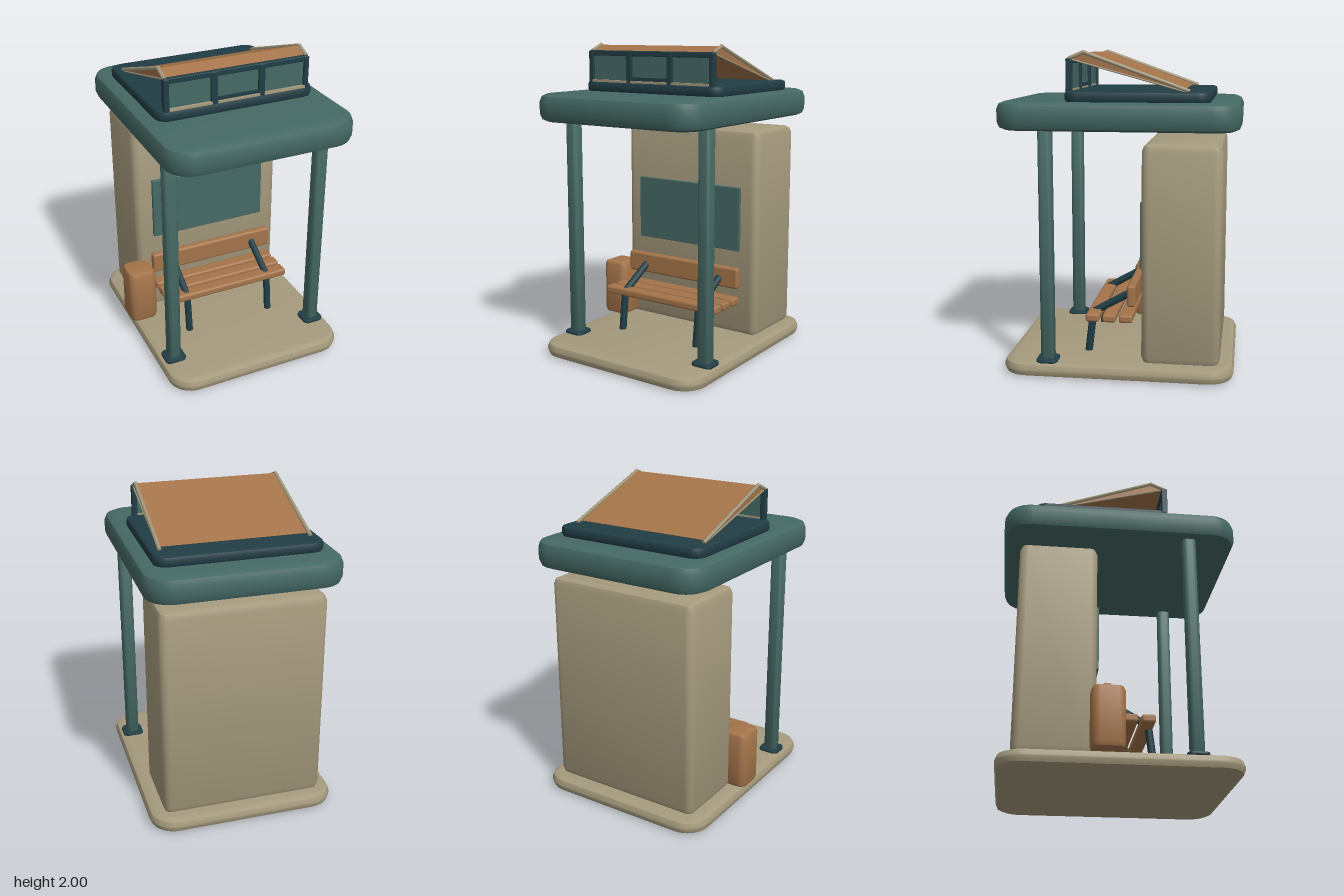
import * as THREE from 'three';
import { toCreasedNormals } from 'three/addons/utils/BufferGeometryUtils.js';
import { RoundedBoxGeometry } from 'three/addons/geometries/RoundedBoxGeometry.js';

const material = (name, color) => {
  const m = new THREE.MeshStandardMaterial({ color });
  m.name = name;
  return m;
};

export function createModel() {
  const teal = material('teal', 0x456964);
  const dark = material('darkTeal', 0x213d45);
  const stone = material('stone', 0xa59a7d);
  const wood = material('wood', 0xa4744a);

  const model = new THREE.Group();
  model.name = 'shelter';
  const CX = 0.013; // middle of the shelter; the bin sticks out on one side

  const add = (name, geometry, mat, parent = model) => {
    const mesh = new THREE.Mesh(geometry, mat);
    mesh.name = name;
    parent.add(mesh);
    return mesh;
  };
  const group = (name) => {
    const g = new THREE.Group();
    g.name = name;
    model.add(g);
    return g;
  };

  // Upright block with rounded plan corners and bevelled top and bottom rims
  const slab = (name, mat, [x0, x1], [y0, y1], [z0, z1], r, bevel, parent) => {
    const w = (x1 - x0) / 2, d = (z1 - z0) / 2;
    const s = new THREE.Shape();
    s.moveTo(-w + r, -d);
    s.lineTo(w - r, -d);
    s.absarc(w - r, -d + r, r, -Math.PI / 2, 0);
    s.lineTo(w, d - r);
    s.absarc(w - r, d - r, r, 0, Math.PI / 2);
    s.lineTo(-w + r, d);
    s.absarc(-w + r, d - r, r, Math.PI / 2, Math.PI);
    s.lineTo(-w, -d + r);
    s.absarc(-w + r, -d + r, r, Math.PI, Math.PI * 1.5);
    const g = new THREE.ExtrudeGeometry(s, {
      depth: y1 - y0 - 2 * bevel, bevelSize: bevel, bevelThickness: bevel,
      bevelOffset: -bevel, bevelSegments: 2, curveSegments: 4,
    });
    g.rotateX(-Math.PI / 2);
    g.translate((x0 + x1) / 2, y0 + bevel, (z0 + z1) / 2);
    return add(name, toCreasedNormals(g, 0.7), mat, parent);
  };

  // Softly rounded box given by its extents
  const block = (name, mat, [x0, x1], [y0, y1], [z0, z1], r, parent) => {
    const g = r
      ? new RoundedBoxGeometry(x1 - x0, y1 - y0, z1 - z0, 2, r)
      : new THREE.BoxGeometry(x1 - x0, y1 - y0, z1 - z0);
    g.translate((x0 + x1) / 2, (y0 + y1) / 2, (z0 + z1) / 2);
    return add(name, g, mat, parent);
  };

  // Round bar between two points in the plane of a given x
  const bar = (name, mat, x, [zA, yA], [zB, yB], r, sides, parent) => {
    const a = new THREE.Vector3(x, yA, zA), b = new THREE.Vector3(x, yB, zB);
    const dir = b.clone().sub(a);
    const mesh = add(name, new THREE.CylinderGeometry(r, r, dir.length(), sides), mat, parent);
    mesh.position.copy(a).add(b).multiplyScalar(0.5);
    mesh.quaternion.setFromUnitVectors(new THREE.Vector3(0, 1, 0), dir.normalize());
    return mesh;
  };

  // Floor, canopy and rear cabin
  slab('floor', stone, [-0.59, 0.615], [0, 0.092], [-0.72, 0.72], 0.16, 0.04);
  slab('canopy', teal, [-0.59, 0.615], [1.525, 1.695], [-0.74, 0.74], 0.17, 0.048);
  slab('cabin', stone, [-0.505, 0.53], [0.085, 1.45], [-0.635, -0.15], 0.05, 0.045);
  block('noticePanel', teal, [-0.39, 0.41], [0.66, 1.08], [-0.16, -0.13], 0.004);

  // Front posts with foot plates
  for (const side of [-1, 1]) {
    const x = CX + side * 0.507;
    slab('post', teal, [x - 0.042, x + 0.042], [0.09, 1.54], [0.387, 0.471], 0.025, 0.004);
    slab('postFoot', dark, [x - 0.07, x + 0.07], [0.085, 0.112], [0.363, 0.497], 0.035, 0.01);
  }

  // Litter bin
  slab('bin', wood, [-0.62, -0.43], [0.1, 0.48], [-0.19, 0.01], 0.05, 0.03);

  // Bench: three seat slats, a back board and two bent side frames
  const bench = group('bench');
  for (const z of [0.165, 0.06, -0.045])
    block('seatSlat', wood, [-0.43, 0.445], [0.32, 0.372], [z - 0.043, z + 0.043], 0.016, bench);
  block('backBoard', wood, [-0.43, 0.445], [0.425, 0.562], [-0.106, -0.054], 0.016, bench);
  for (const x of [-0.287, 0.306]) {
    bar('benchLeg', dark, x, [0.21, 0.09], [0.18, 0.345], 0.024, 8, bench);
    bar('benchArm', dark, x, [0.185, 0.345], [-0.08, 0.495], 0.024, 8, bench);
  }

  // Roof lantern: curb, glazed front and frame
  const lantern = group('roofLantern');
  slab('lanternCurb', dark, [-0.505, 0.528], [1.69, 1.757], [-0.56, 0.32], 0.08, 0.02, lantern);
  for (const [x0, x1] of [[-0.462, -0.427], [-0.165, -0.122], [0.146, 0.187], [0.45, 0.482]])
    block('windowPost', dark, [x0, x1], [1.75, 1.95], [0.27, 0.308], 0.005, lantern);
  block('topRail', dark, [-0.455, 0.475], [1.92, 1.953], [0.272, 0.304], 0.005, lantern);
  for (const [x0, x1] of [[-0.43, -0.16], [-0.125, 0.15], [0.183, 0.455]]) {
    block('windowPane', teal, [x0, x1], [1.765, 1.925], [0.284, 0.293], 0, lantern);
    block('windowSill', stone, [x0, x1], [1.755, 1.769], [0.28, 0.316], 0, lantern);
  }
  block('middleRail', dark, [-0.125, 0.15], [1.769, 1.79], [0.28, 0.303], 0, lantern);

  // Lantern roof: a thin wedge with trim along both gable ends
  const wedge = new THREE.Shape([[0.278, 1.948], [0.2, 1.986], [-0.395, 1.766], [-0.38, 1.76]]
    .map(([z, y]) => new THREE.Vector2(-z, y)));
  const wedgeGeometry = new THREE.ExtrudeGeometry(wedge, { depth: 0.91, bevelEnabled: false });
  wedgeGeometry.rotateY(Math.PI / 2);
  wedgeGeometry.translate(-0.445, 0, 0);
  add('lanternRoof', wedgeGeometry, wood, lantern);
  for (const x of [-0.449, 0.47]) {
    bar('rearTrim', stone, x, [0.205, 1.988], [-0.43, 1.76], 0.012, 6, lantern);
    bar('frontTrim', stone, x, [0.195, 1.988], [0.288, 1.95], 0.012, 6, lantern);
    bar('lowerTrim', stone, x, [0.28, 1.945], [-0.4, 1.758], 0.005, 6, lantern);
  }
  return model;
}
